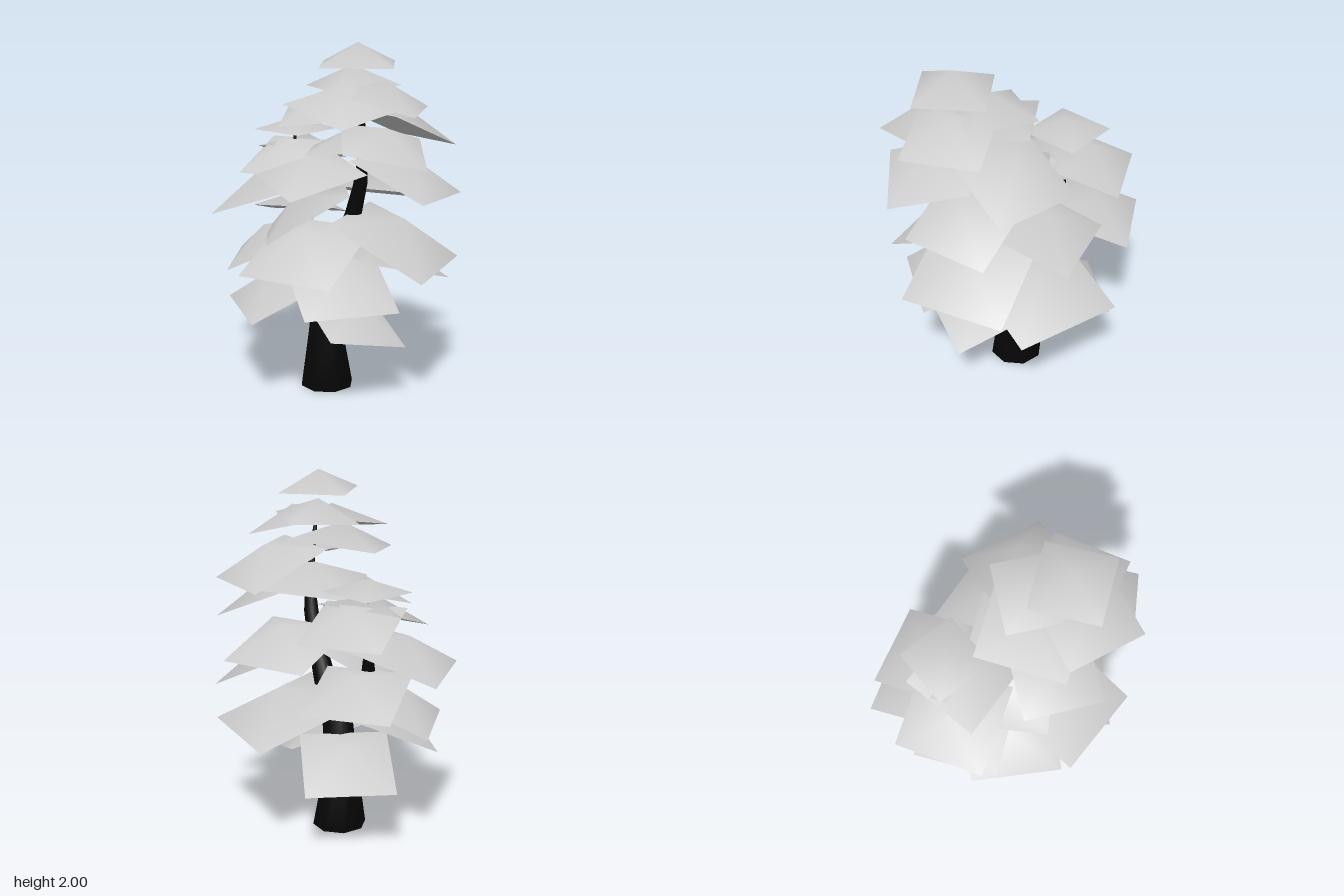
import * as THREE from 'three';
import { mergeVertices } from 'three/addons/utils/BufferGeometryUtils.js';

const rad = THREE.MathUtils.degToRad;

// Square sheet of foliage peaked in the middle, open underneath
function sheetGeometry(size, rise) {
  const cone = new THREE.ConeGeometry(size / Math.SQRT2, rise, 4, 1, true, Math.PI / 4);
  cone.translate(0, rise / 2, 0);
  cone.deleteAttribute('normal');
  cone.deleteAttribute('uv');
  const geo = mergeVertices(cone);
  geo.computeVertexNormals();
  return geo;
}

// Tapered limb through rings of [x, y, z, radius]
function limbGeometry(rings, sides = 8) {
  const pos = [], index = [];
  const first = rings[0], last = rings[rings.length - 1];
  for (const [x, y, z, r] of rings) {
    for (let i = 0; i < sides; i++) {
      const a = ((i + 0.5) / sides) * Math.PI * 2;
      pos.push(x + r * Math.sin(a), y, z + r * Math.cos(a));
    }
  }
  for (let j = 0; j < rings.length - 1; j++) {
    for (let i = 0; i < sides; i++) {
      const a = j * sides + i, b = j * sides + (i + 1) % sides;
      index.push(a, b, b + sides, a, b + sides, a + sides);
    }
  }
  // End caps
  const base = pos.length / 3;
  pos.push(...first.slice(0, 3), ...last.slice(0, 3));
  const top = (rings.length - 1) * sides;
  for (let i = 0; i < sides; i++) {
    const n = (i + 1) % sides;
    index.push(base, n, i, base + 1, top + i, top + n);
  }
  const geo = new THREE.BufferGeometry();
  geo.setAttribute('position', new THREE.Float32BufferAttribute(pos, 3));
  geo.setIndex(index);
  geo.computeVertexNormals();
  return geo;
}

// Sheets: x, y, z, size, yaw of the drooping side, droop, lean (degrees), rise
const lowerSheets = [
  [0.23, 0.46, 0.02, 0.47, 73, 17, 13],
  [-0.28, 0.48, -0.12, 0.49, -117, 22],
  [-0.12, 0.61, 0.24, 0.53, -22, 24],
  [0.29, 0.705, 0.16, 0.515, 66, 23],
  [0.055, 0.72, -0.3, 0.625, 175, 17],
  [0.19, 0.9, 0.31, 0.54, 22, 23],
  [0.385, 0.92, -0.145, 0.59, 116, 26],
  [-0.075, 1.02, 0.095, 0.52, -35, 30, -6],
  [0.035, 1.11, -0.31, 0.5, -153, 16],
];
const upperSheets = [
  [0.435, 1.28, -0.175, 0.475, 109, 23, 3],
  [0.14, 1.3, 0.24, 0.45, -15, 13, 8],
  [0.14, 1.405, -0.07, 0.5, 45, -4, -4],
  [0.5, 1.48, 0.055, 0.43, 51, 11.5, 11.5],
  [0.235, 1.52, -0.29, 0.48, 179, 24],
  [0.1, 1.62, 0.075, 0.49, 45, 6, -6],
  [0.345, 1.685, 0.17, 0.46, 0, 9, 10],
  [0.415, 1.7, -0.02, 0.42, 127, 14],
  [0.17, 1.755, -0.03, 0.385, -17, 3, -1, 0.11],
  [0.32, 1.885, 0.07, 0.375, 46, 0, 0, 0.115],
];
const sideSheets = [
  [-0.355, 0.8, 0.13, 0.49, -45, 24],
  [-0.455, 0.94, -0.17, 0.475, -140, 16],
  [-0.42, 1.09, 0.14, 0.505, -50, 18],
  [-0.4, 1.295, -0.165, 0.45, -143, 17],
  [-0.29, 1.305, 0.035, 0.44, 25, 19],
  [-0.35, 1.45, -0.045, 0.335, 10, 0, 0, 0.07],
];

export function createModel() {
  const bark = new THREE.MeshStandardMaterial({ color: 0x070707 });
  bark.name = 'bark black';
  const foliage = new THREE.MeshStandardMaterial({ color: 0xcccccc, side: THREE.DoubleSide });
  foliage.name = 'foliage grey';

  const tree = new THREE.Group();
  tree.name = 'tree';

  const addLimb = (name, rings) => {
    const mesh = new THREE.Mesh(limbGeometry(rings), bark);
    mesh.name = name;
    tree.add(mesh);
  };
  addLimb('trunk', [
    [-0.026, 0, -0.01, 0.153], [-0.026, 0.33, 0, 0.1], [-0.005, 0.66, -0.01, 0.085],
    [0.07, 0.8, -0.03, 0.068], [0.16, 1.05, -0.045, 0.05], [0.215, 1.22, -0.045, 0.041],
    [0.25, 1.4, -0.035, 0.028], [0.265, 1.55, -0.01, 0.021], [0.275, 1.75, 0.03, 0.006],
  ]);
  addLimb('sideBranch', [
    [-0.02, 0.68, -0.01, 0.075], [-0.13, 0.8, -0.015, 0.06], [-0.24, 0.9, -0.02, 0.048],
    [-0.33, 1.0, -0.02, 0.038], [-0.345, 1.2, -0.03, 0.016], [-0.345, 1.49, -0.04, 0.006],
  ]);

  const addSheets = (name, list) => {
    const group = new THREE.Group();
    group.name = name;
    for (const [x, y, z, size, yaw, droop, lean = 0, rise = size * 0.24] of list) {
      const sheet = new THREE.Mesh(sheetGeometry(size, rise), foliage);
      sheet.name = 'foliageSheet';
      sheet.position.set(x, y, z);
      sheet.rotation.set(rad(droop), rad(yaw), rad(-lean), 'YXZ');
      group.add(sheet);
    }
    tree.add(group);
  };
  addSheets('lowerFoliage', lowerSheets);
  addSheets('upperFoliage', upperSheets);
  addSheets('sideFoliage', sideSheets);
  return tree;
}
